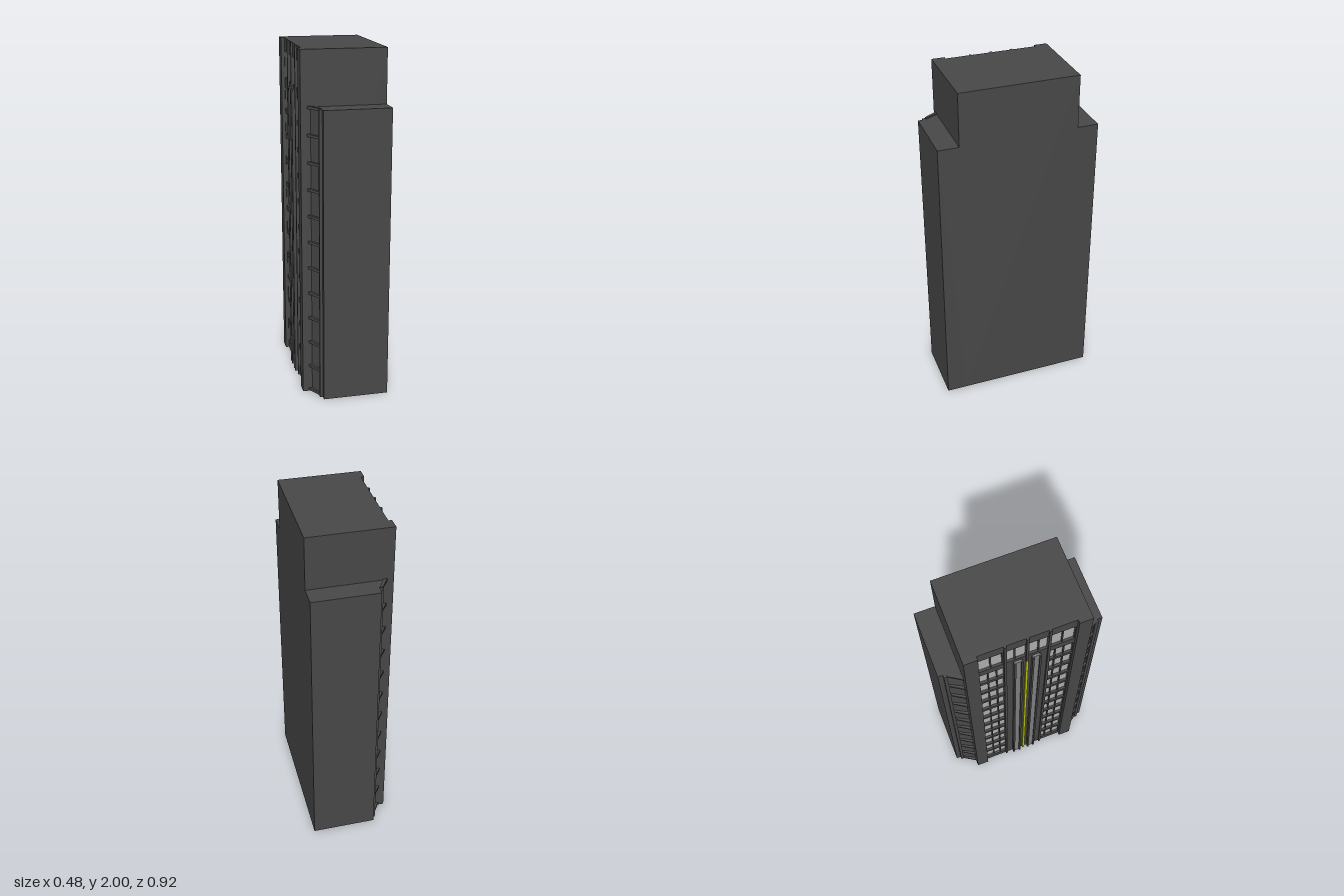
import * as THREE from 'three';

const mat = (name, color) => {
  const m = new THREE.MeshStandardMaterial({ color });
  m.name = name;
  return m;
};

export function createModel() {
  const model = new THREE.Group();
  model.name = 'towerBlock';
  const wall = mat('dark wall', 0x484848);
  const glass = mat('window grey', 0xb0b0b0);
  const trim = mat('panel grey', 0x808080);
  const accent = mat('accent yellow', 0xb8c000);

  const add = (name, geometry, material, parent = model) => {
    const mesh = new THREE.Mesh(geometry, material);
    mesh.name = name;
    parent.add(mesh);
    return mesh;
  };
  // Box given by its limits on each axis
  const box = (name, m, x0, x1, y0, y1, z0, z1) => {
    const g = new THREE.BoxGeometry(x1 - x0, y1 - y0, z1 - z0);
    g.translate((x0 + x1) / 2, (y0 + y1) / 2, (z0 + z1) / 2);
    return add(name, g, m);
  };
  // Prism standing on a plan outline of [x, z] points
  const prism = (name, m, pts, y0, y1, side) => {
    const shape = new THREE.Shape(pts.map(([x, z]) => new THREE.Vector2(x, z * side)));
    const g = new THREE.ExtrudeGeometry(shape, { depth: y1 - y0, bevelEnabled: false });
    g.rotateX(Math.PI / 2).translate(0, y1, 0);
    return add(name, g, m);
  };
  const rect = (P, z0, z1, y0, y1) => new P([
    [z0, y0], [z1, y0], [z1, y1], [z0, y1],
  ].map(([a, b]) => new THREE.Vector2(a, b)));

  const FLOOR = 0.1527;

  // Core with a pierced facade layer on the -x side
  box('core', wall, -0.2, 0.24, 0, 2, -0.34, 0.34);
  const facade = rect(THREE.Shape, -0.34, 0.34, 0, 2);
  const openings = [];
  for (let i = 0; i < 11; i++) {
    const y = 0.055 + i * FLOOR;
    for (const s of [-1, 1]) {
      openings.push([Math.min(s * 0.115, s * 0.26), Math.max(s * 0.115, s * 0.26), y, y + 0.125, 3]);
    }
  }
  openings.push([-0.26, 0.26, 1.765, 1.92, 8]);
  for (const [z0, z1, y0, y1, panes] of openings) {
    facade.holes.push(rect(THREE.Path, z0, z1, y0, y1));
    box('window', glass, -0.206, -0.199, y0, y1, z0, z1);
    for (let k = 1; k < panes; k++) {
      const z = z0 + (z1 - z0) * k / panes;
      box('mullion', wall, -0.214, -0.2, y0, y1, z - 0.004, z + 0.004);
    }
  }
  const layer = new THREE.ExtrudeGeometry(facade, { depth: 0.02, bevelEnabled: false });
  layer.rotateY(-Math.PI / 2).translate(-0.2, 0, 0);
  add('facade', layer, wall);

  // Centre fin, in yellow below the top window
  box('centreFin', accent, -0.23, -0.219, 0, 1.7, -0.007, 0.007);
  box('upperCentreFin', wall, -0.23, -0.2, 1.7, 2, -0.007, 0.007);

  for (const s of [-1, 1]) {
    const span = (name, m, x0, x1, y0, y1, a, b) =>
      box(name, m, x0, x1, y0, y1, Math.min(s * a, s * b), Math.max(s * a, s * b));

    // Corner pier and upright fins
    span('cornerPier', wall, -0.24, -0.2, 0, 2, 0.265, 0.34);
    span('sideFin', wall, -0.23, -0.2, 0, 2, 0.113, 0.127);
    span('panelStrip', trim, -0.232, -0.219, 0, 1.74, 0.034, 0.066);
    for (const z of [0.025, 0.065]) {
      span('panelFin', wall, -0.24, -0.219, 0, 1.74, z, z + 0.011);
    }

    // Lower wing with an angled corner
    prism('wing', wall, [
      [0.24, 0.34], [0.24, 0.46], [-0.14, 0.46], [-0.14, 0.432],
      [-0.157, 0.432], [-0.157, 0.414], [-0.145, 0.414], [-0.185, 0.34],
    ], 0, 1.693, s);

    // Ledge at each floor along the angled corner
    for (let i = 0; i < 12; i++) {
      const y = 0.004 + i * FLOOR;
      prism('ledge', wall, [
        [-0.204, 0.34], [-0.157, 0.414], [-0.14, 0.414], [-0.18, 0.34],
      ], y, y + 0.015, s);
    }
  }
  return model;
}
